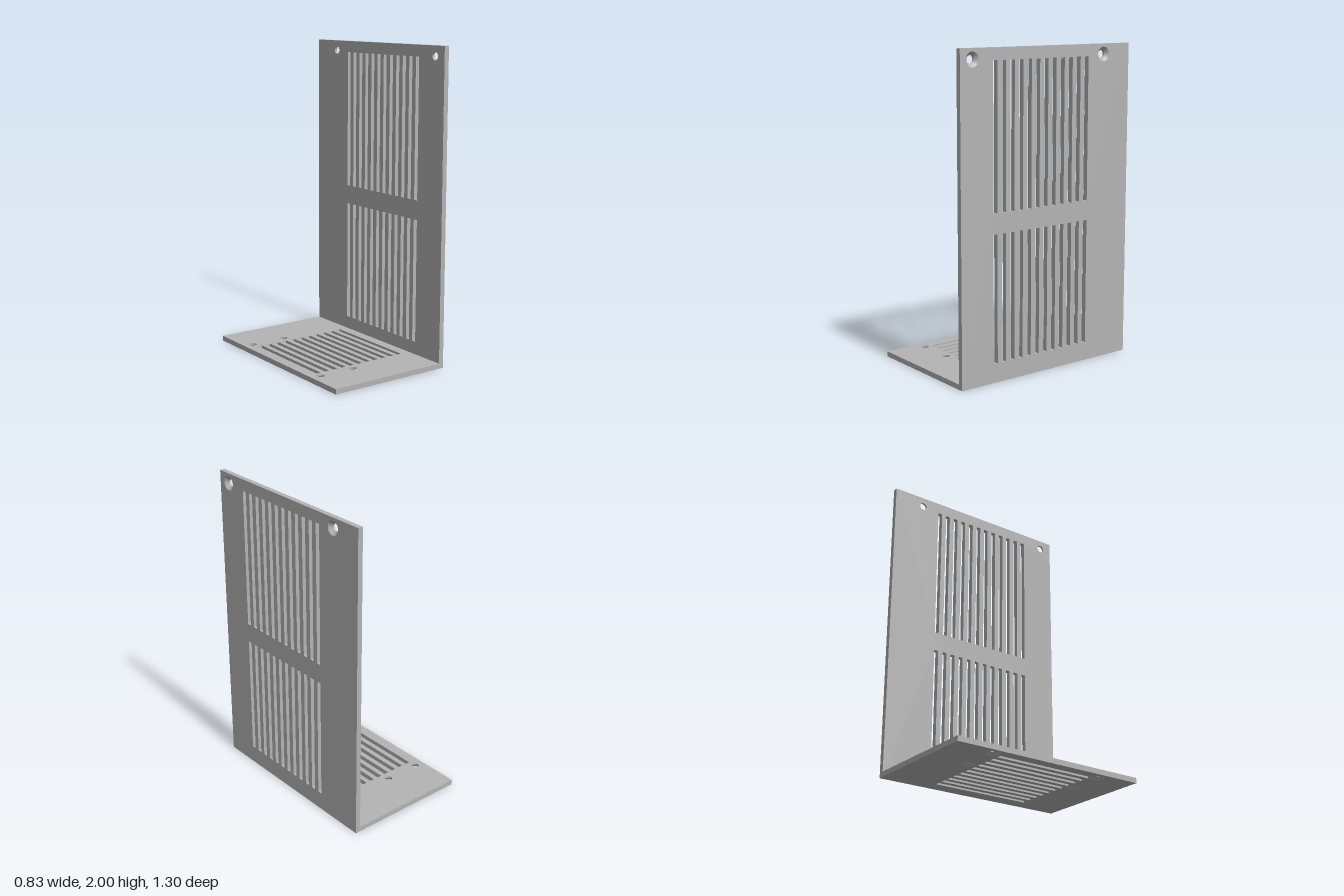
import * as THREE from 'three';
import { mergeGeometries } from 'three/addons/utils/BufferGeometryUtils.js';

const T = 0.033;          // plate thickness
const SINK = 0.02;        // countersink depth
const R_HOLE = 0.025, R_SINK = 0.045;

// Outlines as point loops: plate edges run counter-clockwise, openings clockwise
const rect = (u0, u1, v0, v1) => [[u0, v0], [u1, v0], [u1, v1], [u0, v1]].map(p => new THREE.Vector2(...p));
const slot = (...r) => rect(...r).reverse();
const circle = ([u, v], r) => Array.from({ length: 40 }, (_, i) => {
  const a = -i / 40 * Math.PI * 2;
  return new THREE.Vector2(u + r * Math.cos(a), v + r * Math.sin(a));
});

// Flat face with openings at depth w; flipped faces look towards -w
function face(outline, openings, w, flip) {
  const shape = new THREE.Shape(outline);
  shape.holes = openings.map(o => new THREE.Path(o));
  const g = new THREE.ShapeGeometry(shape).toNonIndexed();
  g.deleteAttribute('uv');
  const p = g.attributes.position;
  for (let i = 0; i < p.count; i++) p.setZ(i, w);
  if (flip) {
    for (let i = 0; i < p.count; i += 3) {
      const [x, y] = [p.getX(i), p.getY(i)];
      p.setXY(i, p.getX(i + 1), p.getY(i + 1));
      p.setXY(i + 1, x, y);
    }
  }
  g.computeVertexNormals();
  return g;
}

// Band of quads between two matching loops
function band(a, wa, b, wb) {
  const out = [];
  a.forEach((p, i) => {
    const j = (i + 1) % a.length, q = a[j], r = b[j], s = b[i];
    out.push(p.x, p.y, wa, q.x, q.y, wa, r.x, r.y, wb, p.x, p.y, wa, r.x, r.y, wb, s.x, s.y, wb);
  });
  const g = new THREE.BufferGeometry();
  g.setAttribute('position', new THREE.Float32BufferAttribute(out, 3));
  g.computeVertexNormals();
  return g;
}

// Plate with straight slots and screw holes countersunk on its outer (+w) face
function plate(outline, slots, screws) {
  const small = screws.map(c => circle(c, R_HOLE));
  const large = screws.map(c => circle(c, R_SINK));
  return mergeGeometries([
    face(outline, [...slots, ...small], 0, true),
    face(outline, [...slots, ...large], T, false),
    ...[outline, ...slots].map(l => band(l, 0, l, T)),
    ...small.map(l => band(l, 0, l, T - SINK)),
    ...small.map((l, i) => band(l, T - SINK, large[i], T)),
  ]);
}

export function createModel() {
  const model = new THREE.Group();
  model.name = 'ventedBracket';
  const grey = new THREE.MeshStandardMaterial({ color: 0xb4b4b4 });
  grey.name = 'grey';
  const inner = 0.415 - T;

  // Upright wall: two rows of twelve slots, two screw holes at the top (u = -z)
  const wallSlots = [];
  for (const [y0, y1] of [[0.117, 0.91], [1.034, 1.927]]) {
    for (let i = 0; i < 12; i++) {
      const u = -0.415 + i * 0.0635;
      wallSlots.push(slot(u, u + 0.03, y0, y1));
    }
  }
  const wall = new THREE.Mesh(
    plate(rect(-0.648, 0.648, 0, 2), wallSlots, [[-0.563, 1.936], [0.435, 1.936]]), grey);
  wall.name = 'wall';
  wall.rotation.y = Math.PI / 2;
  wall.position.x = inner;
  model.add(wall);

  // Base: eleven slots and four screw holes sunk from below (v = z)
  const baseSlots = [];
  for (let i = 0; i < 11; i++) {
    const u = -0.345 + i * 0.0632;
    baseSlots.push(slot(u, u + 0.03, -0.313, 0.353));
  }
  const baseScrews = [];
  for (const x of [-0.349, -0.107]) for (const z of [-0.369, 0.401]) baseScrews.push([x, z]);
  const base = new THREE.Mesh(
    plate(rect(-0.415, inner, -0.648, 0.648), baseSlots, baseScrews), grey);
  base.name = 'base';
  base.rotation.x = Math.PI / 2;
  base.position.y = T;
  model.add(base);

  return model;
}
